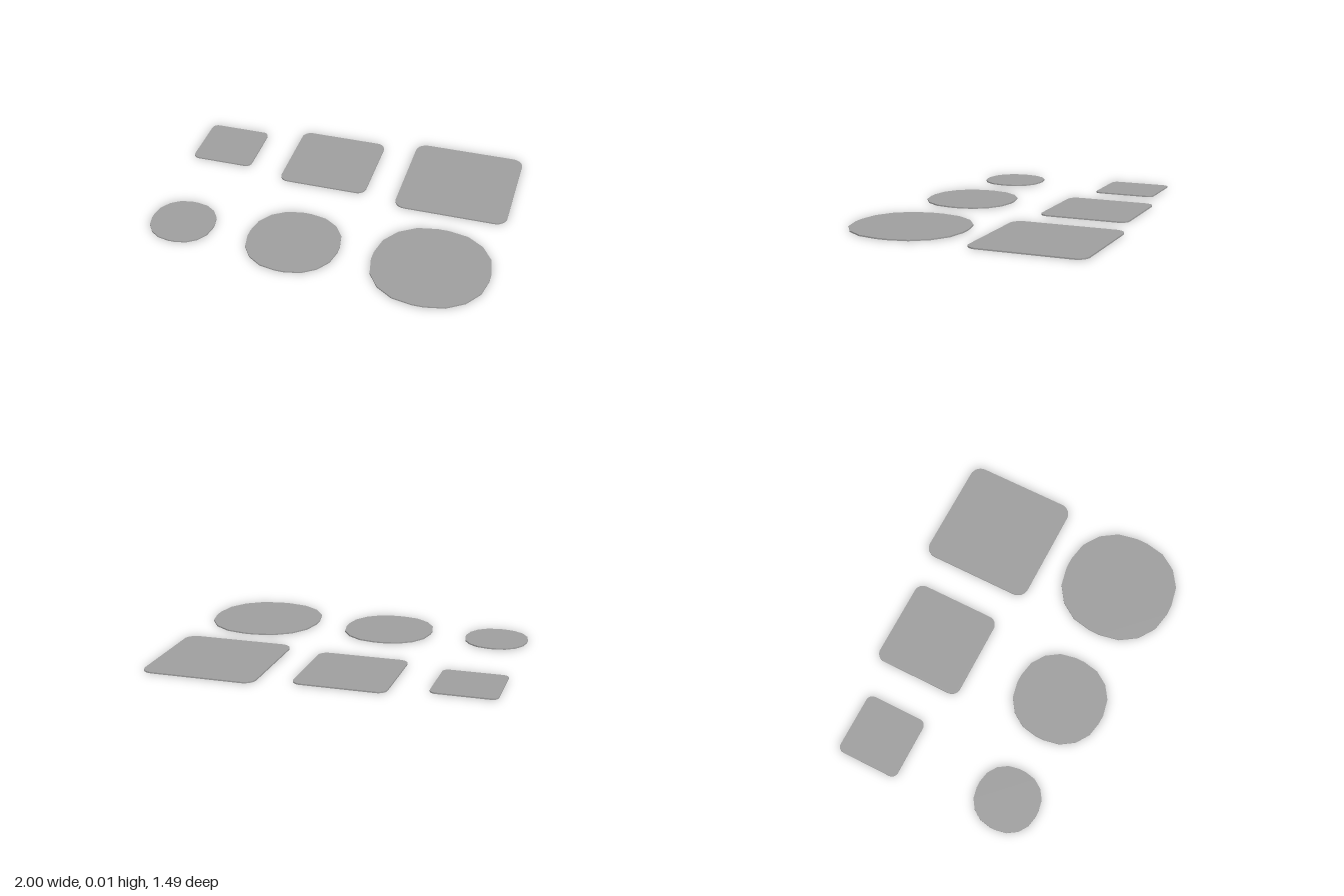
import * as THREE from 'three';

const THICKNESS = 0.008;

// Square outline with rounded corners, centred on the origin
function roundedSquare(size, radius) {
  const c = size / 2 - radius;
  const shape = new THREE.Shape();
  for (let i = 0; i < 4; i++) {
    const a = i * Math.PI / 2;
    const sx = i === 0 || i === 3 ? 1 : -1;
    const sy = i < 2 ? 1 : -1;
    shape.absarc(sx * c, sy * c, radius, a, a + Math.PI / 2, false);
  }
  shape.closePath();
  return shape;
}

// Thin flat tile lying on the ground
function makeTile(name, size, radius, curveSegments, material) {
  const geometry = new THREE.ExtrudeGeometry(roundedSquare(size, radius), {
    depth: THICKNESS, bevelEnabled: false, curveSegments,
  });
  geometry.rotateX(-Math.PI / 2);
  const tile = new THREE.Mesh(geometry, material);
  tile.name = name;
  return tile;
}

export function createModel() {
  const group = new THREE.Group();
  const material = new THREE.MeshStandardMaterial({ color: 0x9e9e9e, flatShading: true });
  const sizes = [
    { name: 'small', x: -0.812, size: 0.376 },
    { name: 'medium', x: -0.138, size: 0.537 },
    { name: 'large', x: 0.664, size: 0.672 },
  ];

  for (const { name, x, size } of sizes) {
    // Square tile with small rounded corners
    const square = makeTile(name + 'SquareTile', size, size * 0.1, 4, material);
    square.position.set(x, 0, -0.411);

    // Nearly round tile with short flats and faceted corners
    const round = makeTile(name + 'RoundTile', size, size * 0.45, 2, material);
    round.position.set(x, 0, 0.407);
    group.add(square, round);
  }
  return group;
}
